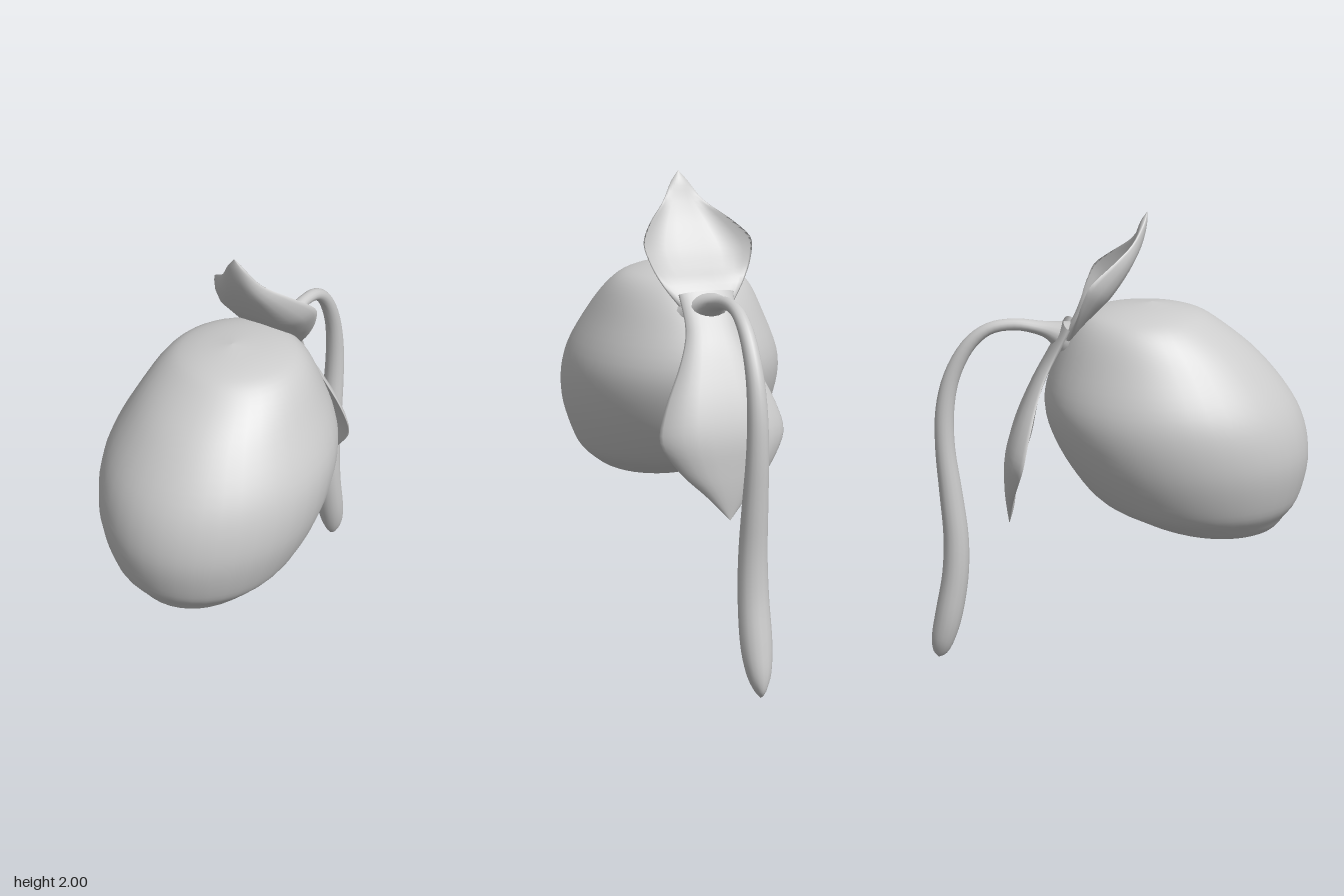
import * as THREE from 'three';

const material = new THREE.MeshStandardMaterial({ color: 0xcccccc, side: THREE.DoubleSide });

// Smoothly resample a table of section values, column by column
function resample(rows, steps) {
  const columns = rows[0].map((_, k) =>
    new THREE.SplineCurve(rows.map((row) => new THREE.Vector2(row[k], 0))));
  return Array.from({ length: steps + 1 }, (_, i) => columns.map((c) => c.getPoint(i / steps).x));
}

// Skin a list of closed rings
function loft(name, rings) {
  const n = rings[0].length;
  const index = [];
  for (let i = 0; i < rings.length - 1; i++) {
    for (let j = 0; j < n; j++) {
      const a = i * n + j, b = i * n + (j + 1) % n;
      index.push(a, a + n, b + n, a, b + n, b);
    }
  }
  const geometry = new THREE.BufferGeometry().setFromPoints(rings.flat());
  geometry.setIndex(index);
  geometry.computeVertexNormals();
  const mesh = new THREE.Mesh(geometry, material);
  mesh.name = name;
  return mesh;
}

// Sweep an oval along a path in the middle plane.
// Rows: y, z, half width, half thickness, how far the edges curl
function sweep(name, rows, steps, sides) {
  const sections = resample(rows, steps);
  const rings = sections.map(([y, z, width, thick, curl], i) => {
    const p = sections[Math.max(i - 1, 0)], q = sections[Math.min(i + 1, steps)];
    const t = new THREE.Vector2(q[0] - p[0], q[1] - p[1]).normalize();
    return Array.from({ length: sides }, (_, j) => {
      const a = (j / sides) * Math.PI * 2;
      const u = Math.sin(a) ** 2;
      const off = Math.max(thick, 0) * Math.cos(a) + curl * (1.3 * u * u - 0.3 * u);
      return new THREE.Vector3(Math.max(width, 0) * Math.sin(a), y + t.y * off, z - t.x * off);
    });
  });
  return loft(name, rings);
}

// Tilted egg from level slices. Rows: y, back z, front z, half width
function createBody() {
  const rows = [
    [1.626, 0.15, 0.15, 0], [1.6, -0.07, 0.32, 0.17], [1.545, -0.17, 0.43, 0.28],
    [1.4, -0.25, 0.61, 0.37], [1.2, -0.3, 0.765, 0.455], [1.0, -0.235, 0.82, 0.452],
    [0.81, -0.1, 0.79, 0.385], [0.72, 0.05, 0.735, 0.31], [0.65, 0.235, 0.67, 0.2],
    [0.615, 0.5, 0.5, 0],
  ];
  const sides = 40;
  const rings = resample(rows, 45).map(([y, back, front, width]) =>
    Array.from({ length: sides }, (_, j) => {
      const a = (j / sides) * Math.PI * 2;
      return new THREE.Vector3(width * Math.sin(a), y,
        (back + front) / 2 + (front - back) / 2 * Math.cos(a));
    }));
  return loft('body', rings);
}

export function createModel() {
  const model = new THREE.Group();
  model.name = 'hangingFruit';
  model.add(createBody());

  // Leaf standing up over the fruit
  model.add(sweep('upperLeaf', [
    [1.46, -0.2, 0.1, 0.03, 0], [1.55, -0.145, 0.175, 0.025, 0.02],
    [1.61, -0.09, 0.22, 0.02, 0.06], [1.68, -0.025, 0.235, 0.02, 0.09],
    [1.78, 0.045, 0.17, 0.02, 0.06], [1.87, 0.09, 0.09, 0.02, 0.02],
    [1.95, 0.115, 0.04, 0.015, 0], [1.998, 0.13, 0, 0, 0],
  ], 28, 24));

  // Leaf hanging down behind the fruit
  model.add(sweep('lowerLeaf', [
    [1.53, -0.19, 0.12, 0.03, 0], [1.4, -0.265, 0.115, 0.025, 0.01],
    [1.28, -0.335, 0.16, 0.02, 0.03], [1.12, -0.405, 0.24, 0.02, 0.06],
    [0.98, -0.445, 0.27, 0.02, 0.07], [0.85, -0.452, 0.2, 0.02, 0.04],
    [0.74, -0.452, 0.09, 0.018, 0.01], [0.64, -0.46, 0, 0, 0],
  ], 28, 24));

  // Drooping stem, flared at the fruit and thicker towards its rounded end
  model.add(sweep('stem', [
    [1.465, -0.19, 0.13, 0.08, 0], [1.49, -0.245, 0.075, 0.05, 0],
    [1.51, -0.31, 0.042, 0.03, 0], [1.525, -0.42, 0.027, 0.025, 0],
    [1.505, -0.53, 0.028, 0.026, 0], [1.43, -0.62, 0.031, 0.03, 0],
    [1.3, -0.69, 0.035, 0.035, 0], [1.15, -0.724, 0.04, 0.04, 0],
    [0.98, -0.728, 0.045, 0.043, 0], [0.78, -0.71, 0.052, 0.05, 0],
    [0.58, -0.694, 0.058, 0.055, 0], [0.4, -0.702, 0.063, 0.058, 0],
    [0.22, -0.735, 0.065, 0.06, 0], [0.1, -0.765, 0.05, 0.052, 0],
    [0.03, -0.782, 0.022, 0.032, 0], [0.002, -0.788, 0, 0, 0],
  ], 60, 16));

  return model;
}
